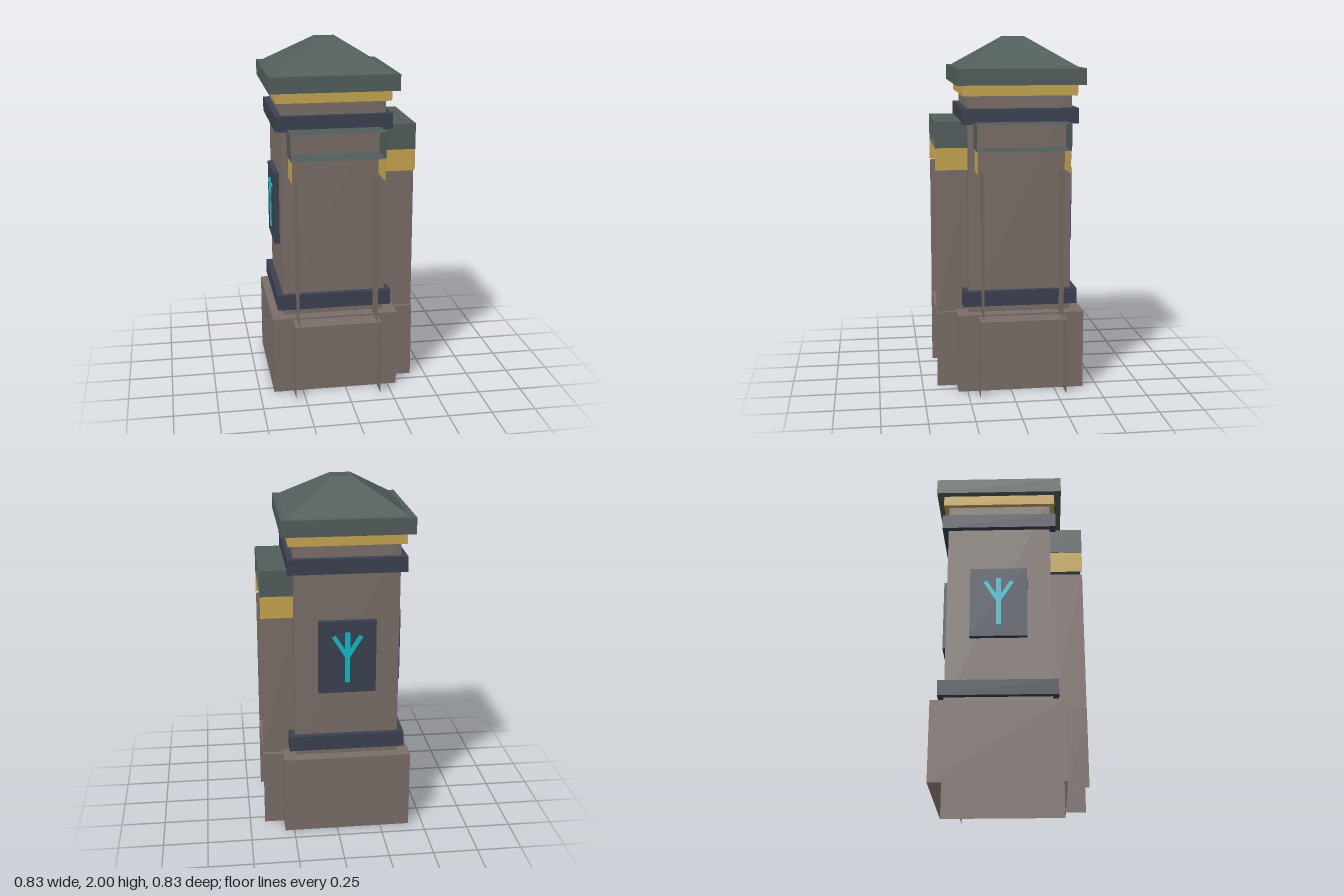
import * as THREE from 'three';

const material = (name, color, side = THREE.DoubleSide) => {
  const m = new THREE.MeshStandardMaterial({ color, side });
  m.name = name;
  return m;
};

// Box between two corners; the listed faces are left out (order: +x -x +y -y +z -z)
const FACES = ['+x', '-x', '+y', '-y', '+z', '-z'];
function shell(x0, x1, y0, y1, z0, z1, open = []) {
  const g = new THREE.BoxGeometry(x1 - x0, y1 - y0, z1 - z0);
  g.translate((x0 + x1) / 2, (y0 + y1) / 2, (z0 + z1) / 2);
  const src = Array.from(g.index.array);
  const kept = src.filter((_, i) => !open.includes(FACES[Math.floor(i / 6)]));
  g.setIndex(kept);
  g.clearGroups();
  return g;
}

export function createModel() {
  const stone = material('brown stone', 0x7a6e69);
  const slate = material('green slate', 0x525e5c);
  const gold = material('gold trim', 0xc6a64f);
  const navy = material('dark blue metal', 0x3c4151);
  const cyan = material('cyan inlay', 0x10bccb);

  const model = new THREE.Group();
  model.name = 'cornerPillar';
  const pillar = new THREE.Group();
  pillar.name = 'pillar';
  pillar.position.set(-0.058, 0, -0.058);
  model.add(pillar);

  const add = (parent, name, geometry, mat) => {
    const mesh = new THREE.Mesh(geometry, mat);
    mesh.name = name;
    parent.add(mesh);
    return mesh;
  };
  const block = (name, half, y0, y1, mat, open) =>
    add(pillar, name, shell(-half, half, y0, y1, -half, half, open), mat);

  // Square column, stacked from the ground up
  block('base', 0.36, 0, 0.45, stone, ['-y']);
  block('shaft', 0.292, 0.45, 1.74, stone, ['-y', '+y']);
  block('lowerBand', 0.326, 0.49, 0.577, navy);
  block('upperBand', 0.326, 1.525, 1.61, navy);
  block('goldCollar', 0.321, 1.68, 1.74, gold);
  block('roofSlab', 0.36, 1.74, 1.83, slate);

  // Truncated pyramid roof
  const roof = new THREE.CylinderGeometry(0.058 * Math.SQRT2, 0.332 * Math.SQRT2, 0.17, 4, 1).toNonIndexed();
  roof.rotateY(Math.PI / 4);
  roof.translate(0, 1.915, 0);
  roof.computeVertexNormals();
  add(pillar, 'roof', roof, slate);

  // Open-ended wall stubs on the front and the left
  const END = 0.473;
  for (const [name, angle] of [['frontWall', 0], ['leftWall', Math.PI / 2]]) {
    const wall = new THREE.Group();
    wall.name = name;
    wall.rotation.y = angle;
    pillar.add(wall);
    const ends = ['+z', '-z'];
    add(wall, 'wallFoot', shell(-0.245, 0.245, 0, 0.44, 0.36, END, [...ends, '-y']), stone);
    add(wall, 'wallBody', shell(-0.222, 0.222, 0.44, 1.265, 0.292, END, [...ends, '+y', '-y']), stone);
    add(wall, 'wallTrim', shell(-0.255, 0.255, 1.265, 1.39, 0.292, END, [...ends, '+y', '-y']), gold);
    add(wall, 'wallCoping', shell(-0.26, 0.26, 1.39, 1.537, 0.292, END, ends), slate);
  }

  // Plaques with a three-pronged inlay on the back and the right
  for (const [name, angle] of [['backPlaque', Math.PI], ['rightPlaque', -Math.PI / 2]]) {
    const plaque = new THREE.Group();
    plaque.name = name;
    plaque.rotation.y = angle;
    pillar.add(plaque);
    add(plaque, 'plate', shell(-0.16, 0.16, 0.837, 1.255, 0.292, 0.322), navy);
    add(plaque, 'inlayStem', shell(-0.014, 0.014, 0.9, 1.19, 0.322, 0.33), cyan);
    for (const s of [-1, 1]) {
      const arm = add(plaque, 'inlayArm', new THREE.BoxGeometry(0.024, 0.145, 0.007), cyan);
      arm.position.set(s * 0.037, 1.108, 0.3255);
      arm.rotation.z = -s * 0.56;
    }
  }
  return model;
}
